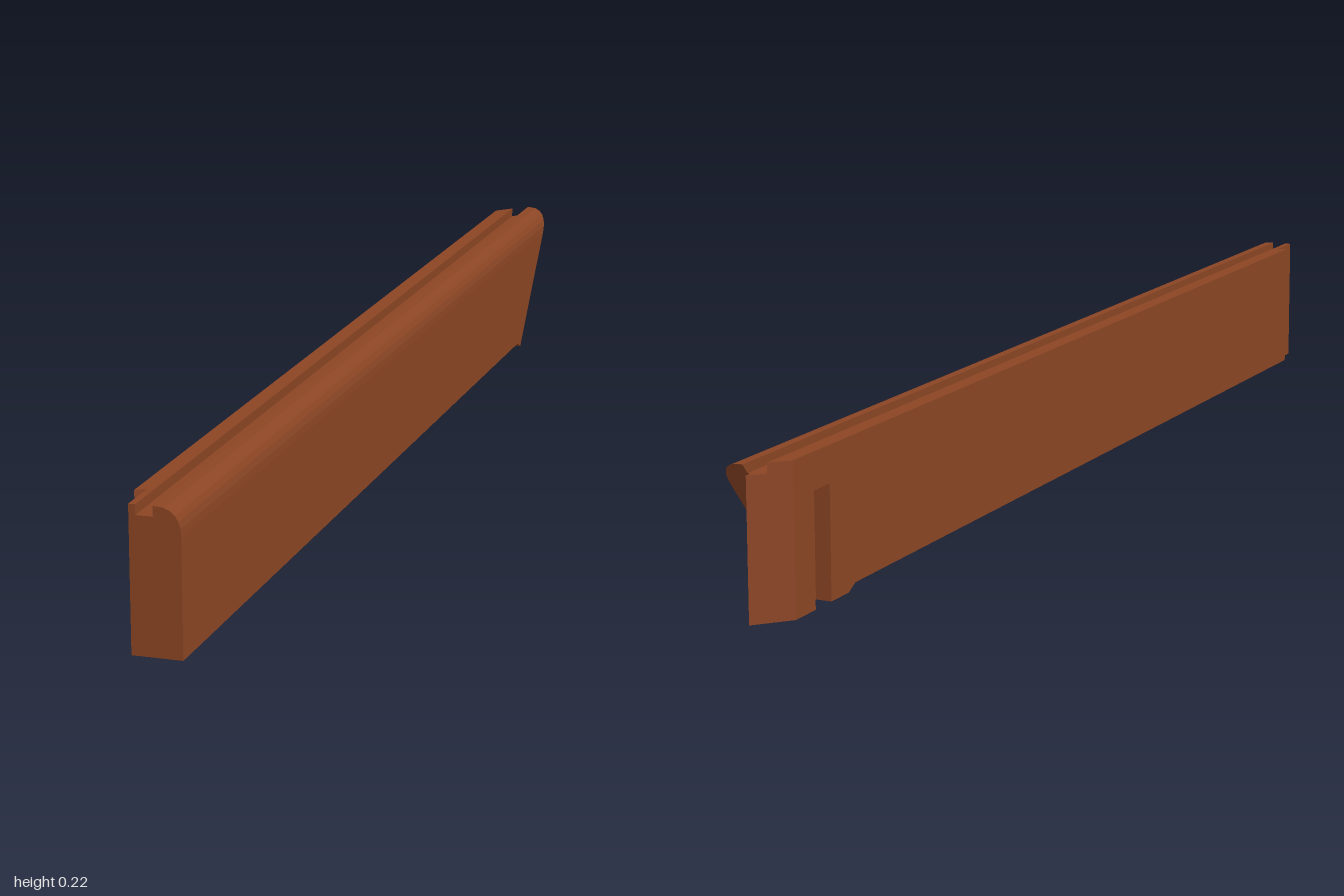
import * as THREE from 'three';

const wood = new THREE.MeshStandardMaterial({ color: 0x8b4524 });
wood.name = 'reddish brown wood';

// Upright slab from a plan outline of [x, z] points, between heights y0 and y1
function slab(points, y0, y1) {
  const shape = new THREE.Shape(points.map(([x, z]) => new THREE.Vector2(x, -z)));
  const geo = new THREE.ExtrudeGeometry(shape, { depth: y1 - y0, bevelEnabled: false });
  return geo.rotateX(-Math.PI / 2).translate(0, y0, 0);
}

// Plan of the inner half: front rebate, locking slot and chamfered tail
function plan({ inner = 0, undercut = true, slot = false }) {
  const tailZ = -0.95 - 0.05 * (inner + 0.045) / 0.045;
  return [
    [inner, 1], [-0.03, 1], [-0.03, undercut ? 0.93 : 0.94], [-0.045, 0.94],
    ...(slot ? [[-0.045, -0.85], [-0.02, -0.85], [-0.02, -0.895], [-0.045, -0.895]] : []),
    [-0.045, -0.95], [inner, tailZ],
  ];
}

export function createModel() {
  const group = new THREE.Group();
  group.name = 'mouldedRail';
  const add = (name, geo) => {
    geo.computeVertexNormals();
    const mesh = new THREE.Mesh(geo, wood);
    mesh.name = name;
    group.add(mesh);
  };

  // Outer half: rounded top edge, cut diagonally at the back
  const profile = new THREE.Shape();
  profile.moveTo(0, 0.01);
  profile.lineTo(0.045, 0.01);
  profile.lineTo(0.045, 0.185);
  profile.bezierCurveTo(0.045, 0.209, 0.034, 0.225, 0.01, 0.225);
  profile.lineTo(0.005, 0.225);
  profile.lineTo(0.005, 0.21);
  profile.lineTo(0, 0.21);
  const outer = new THREE.ExtrudeGeometry(profile, { depth: 1, steps: 2, curveSegments: 6, bevelEnabled: false });
  const p = outer.attributes.position;
  for (let i = 0; i < p.count; i++) {
    const t = p.getZ(i);
    if (t > 0.9) p.setZ(i, 1);
    else if (t > 0.4) p.setZ(i, -0.78);
    else {
      if (p.getY(i) < 0.011) p.setY(i, 0);
      p.setZ(i, -0.8 - 0.2 * p.getY(i) / 0.225);
    }
  }
  add('outerRail', outer);

  // Inner half, in layers that share a plan
  add('innerRailLower', slab(plan({ slot: true }), 0.01, 0.06));
  add('innerRailMiddle', slab(plan({ undercut: false, slot: true }), 0.06, 0.15));
  add('innerRailUpper', slab(plan({ slot: true }), 0.15, 0.17));
  add('innerRailAboveSlot', slab(plan({}), 0.17, 0.21));
  add('innerRidge', slab(plan({ inner: -0.02 }), 0.21, 0.225));

  // Tail foot, slightly lower than the rail, with a sloped front
  const foot = slab([
    [0, -0.8], [-0.045, -0.8], [-0.045, -0.85], [-0.02, -0.85], [-0.02, -0.895],
    [-0.045, -0.895], [-0.045, -0.95], [0, -1],
  ], 0, 0.01);
  const f = foot.attributes.position;
  for (let i = 0; i < f.count; i++) {
    if (f.getY(i) > 0.005 && f.getZ(i) > -0.81) f.setZ(i, -0.78);
  }
  add('tailFoot', foot);

  return group;
}
